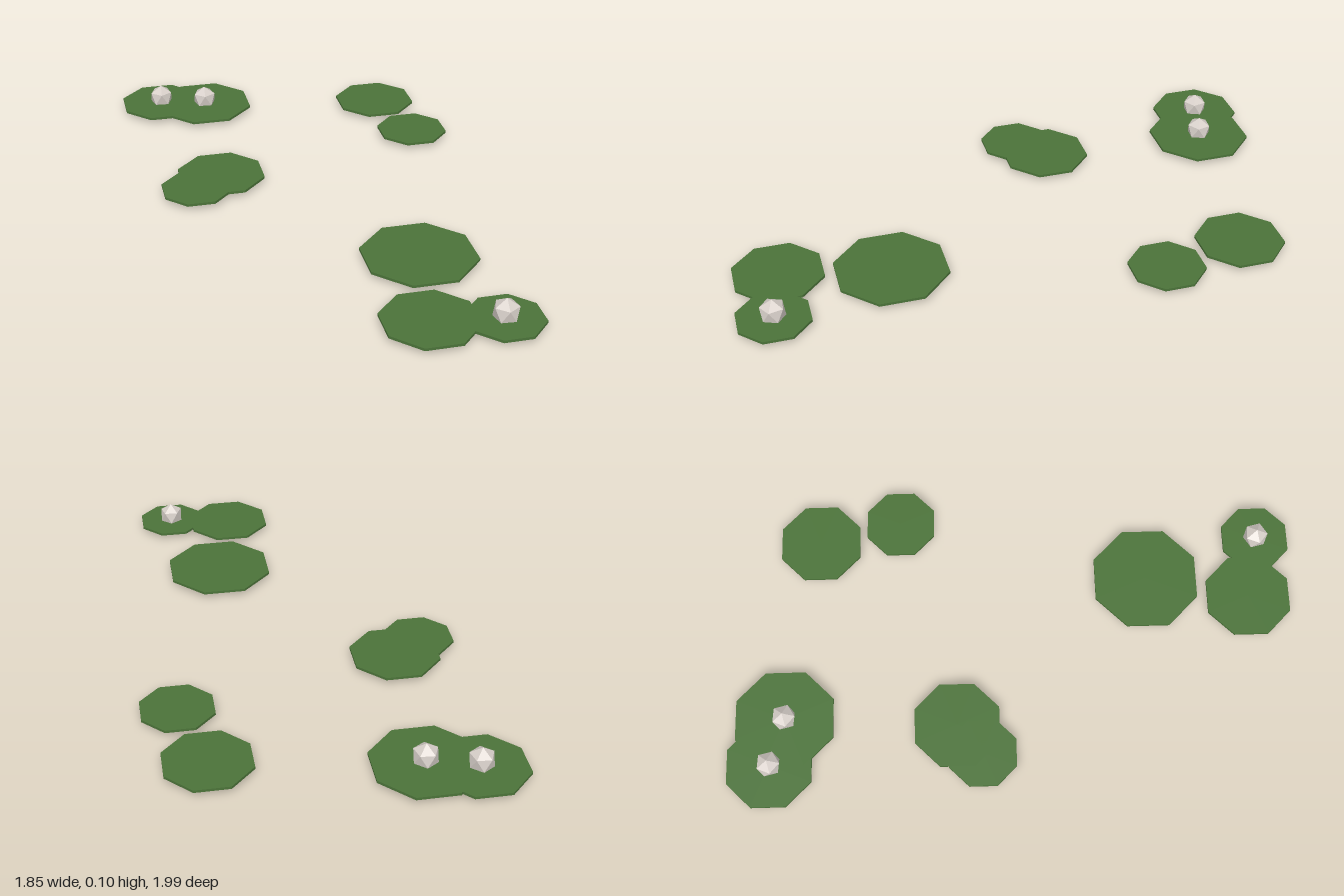
import * as THREE from 'three';

const PAD_BOTTOM = 0.017;
const PAD_THICKNESS = 0.01;
const BUD_RADIUS = 0.05;

// x, z, radius, and whether a flower sits on the pad
const PADS = [
  [0.15, -0.83, 0.167, false],
  [0.34, -0.567, 0.143, false],
  [-0.57, -0.67, 0.2, true],
  [-0.757, -0.65, 0.172, true],
  [-0.357, -0.05, 0.174, false],
  [-0.425, 0.08, 0.138, false],
  [0.467, 0.42, 0.215, false],
  [0.54, 0.82, 0.173, false],
  [0.785, 0.77, 0.138, true],
];

export function createModel() {
  const model = new THREE.Group();
  model.name = 'lilyPads';

  const leafGreen = new THREE.MeshStandardMaterial({ color: 0x4b7339, flatShading: true });
  leafGreen.name = 'leaf green';
  const petalWhite = new THREE.MeshStandardMaterial({ color: 0xd6cec8, flatShading: true });
  petalWhite.name = 'petal white';

  // Flat octagonal leaf, one corner facing each axis
  const padGeometry = new THREE.CylinderGeometry(1, 1, PAD_THICKNESS, 8);

  // Faceted bud turned to stand on a corner
  const budGeometry = new THREE.IcosahedronGeometry(BUD_RADIUS, 0);
  budGeometry.rotateZ(-Math.atan(2 / (1 + Math.sqrt(5))));

  PADS.forEach(([x, z, radius, hasFlower], i) => {
    const pad = new THREE.Mesh(padGeometry, leafGreen);
    pad.name = `lilyPad${i + 1}`;
    pad.scale.set(radius, 1, radius);
    pad.position.set(x, PAD_BOTTOM + PAD_THICKNESS / 2, z);
    model.add(pad);

    if (hasFlower) {
      const flower = new THREE.Mesh(budGeometry, petalWhite);
      flower.name = `flower${i + 1}`;
      flower.position.set(x, BUD_RADIUS, z);
      model.add(flower);
    }
  });

  return model;
}
